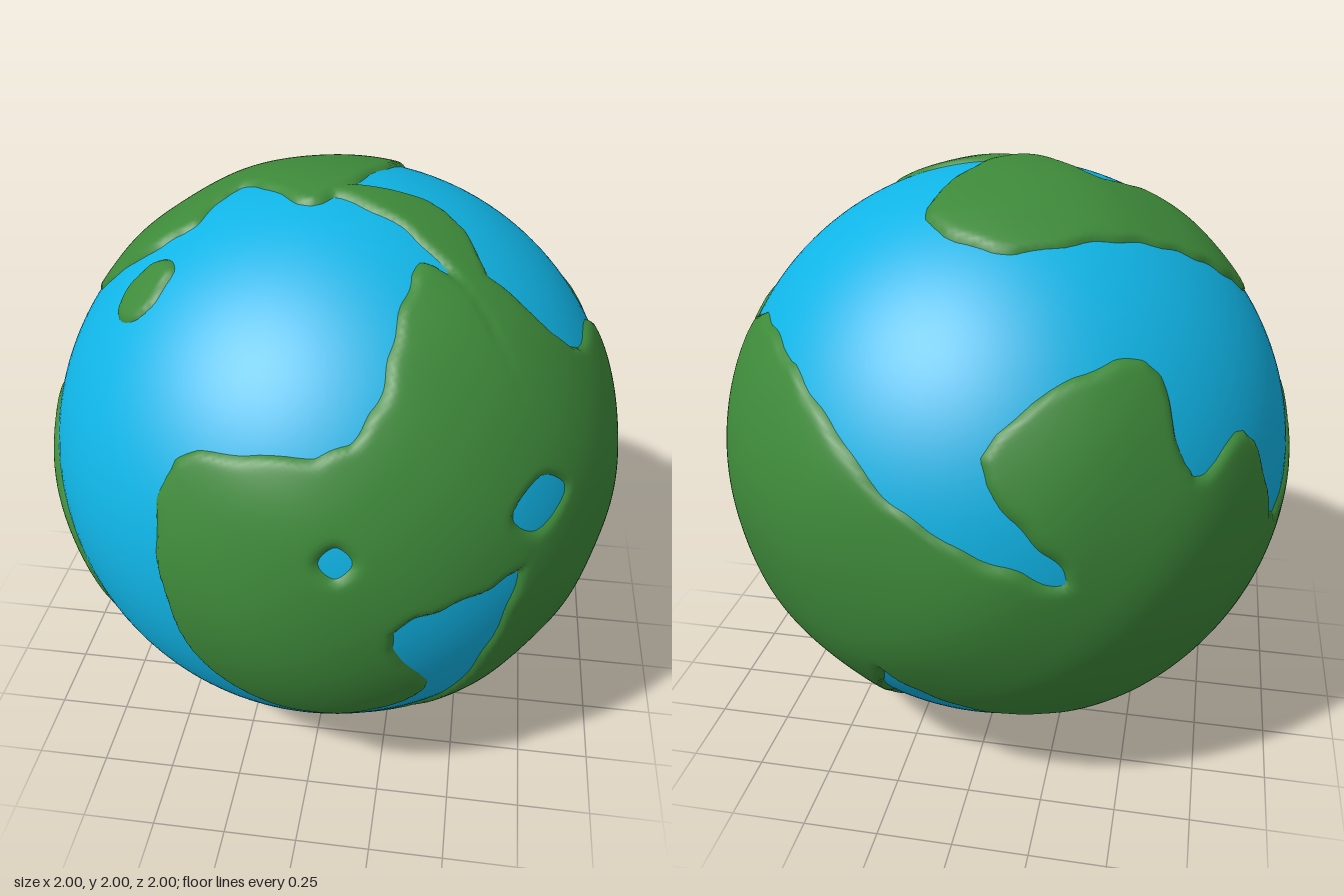
import * as THREE from 'three';
import { mergeVertices } from 'three/addons/utils/BufferGeometryUtils.js';

const R = 0.985;
const V = (x, y, z = 0) => new THREE.Vector3(x, y, z);

// A chart is a plane facing the globe's centre, in which coastlines are drawn.
function chart(azimuth, elevation) {
  const [a, e] = [azimuth, elevation].map(THREE.MathUtils.degToRad);
  const C = V(Math.sin(a) * Math.cos(e), Math.sin(e), Math.cos(a) * Math.cos(e));
  const X = V(Math.cos(a), 0, -Math.sin(a));
  return { C, X, Y: C.clone().cross(X) };
}
const front = chart(0, 0), east = chart(90, 0), west = chart(-90, 0);
const north = chart(0, 90), south = chart(0, -90);
const backHigh = chart(215, 25), backLow = chart(145, -25);

// Smooth closed coastline, kept as stereographic points about the chart axis.
function coast(c, ...flat) {
  const pts = [];
  for (let i = 0; i < flat.length; i += 2) {
    const p = V(flat[i], flat[i + 1]).divideScalar(R).clampLength(0, 1);
    pts.push(p.divideScalar(1 + Math.sqrt(Math.max(0, 1 - p.lengthSq()))));
  }
  return { ...c, pts: new THREE.CatmullRomCurve3(pts, true).getPoints(pts.length * 5).slice(1) };
}
const pond = (c, x, y, r) => coast(c, x + r, y, x, y + r, x - r, y, x, y - r);

// Signed arc distance of a direction to a coastline, positive on the inside.
function inside({ C, X, Y, pts }, p) {
  const w = 1 + p.dot(C);
  if (w < 0.6) return -1;
  const x = p.dot(X) / w, y = p.dot(Y) / w;
  let best = Infinity, odd = false, a = pts.at(-1);
  for (const b of pts) {
    const dx = a.x - b.x, dy = a.y - b.y;
    const t = THREE.MathUtils.clamp(((x - b.x) * dx + (y - b.y) * dy) / (dx * dx + dy * dy), 0, 1);
    best = Math.min(best, Math.hypot(x - b.x - t * dx, y - b.y - t * dy));
    if (b.y > y !== a.y > y && x < b.x + dx * (y - b.y) / dy) odd = !odd;
    a = b;
  }
  return (odd ? best : -best) * w;
}

const lands = [
  // front continent
  coast(front, 0.3, 0.87, 0.15, 0.53, -0.35, 0.43, -0.41, 0.05, -0.22, -0.39, 0.12, -0.53, 0.41, -0.4,
    0.3, -0.05, 0.72, 0.12, 0.45, 0.79),
  // eastern continent with its inner channel
  coast(east, -0.3, 0.86, -0.25, 0.57, 0.08, 0.5, 0.15, -0.08, -0.1, -0.27, -0.04, -0.5, 0.3, -0.43,
    0.41, -0.1, 0.29, 0.52, 0.8, 0.4, 0.95, 0, 0.3, -0.89, -0.45, -0.84, -0.73, -0.4, -0.7, 0.2),
  // back continent
  coast(backHigh, -0.83, 0.37, -0.68, -0.1, -0.45, -0.32, -0.25, -0.42, -0.46, -0.02, 0.06, 0.17, 0.16, -0.19,
    0.4, -0.08, 0.6, -0.39, 0.9, 0.08, 0.7, -0.44, 0.5, -0.75, 0.1, -0.95, -0.75, -0.57),
  // underside around the southern bay
  coast(backLow, -0.13, -0.83, 0.2, -0.2, 0.42, 0.07, 0.62, -0.3, 0.5, -0.75, 0.74, -0.35, 0.1, 0.22, -0.6, -0.4),
  // southern tongue
  coast(south, 0.45, 0.55, -0.46, 0.42, -0.05, 0.22, 0.3, -0.05),
  // western peninsula
  coast(west, 0.16, 0.26, 0.58, -0.22, 0.34, -0.66, 0, -0.1),
  // polar island, the land bridge to it and an islet
  coast(north, 0.08, 0, 0.18, 0.4, -0.05, 0.53, -0.4, 0.35, -0.8, -0.07, -0.45, -0.21, -0.3, -0.02, -0.05, -0.2),
  coast(north, -0.05, -0.1, 0.36, -0.07, 0.52, -0.45, 0.24, -0.25),
  pond(north, -0.54, -0.37, 0.1),
];
const lakes = [pond(front, 0.7, 0.25, 0.08), pond(front, 0.13, 0.21, 0.05)];
const peak = V(0.52, -0.85, 0.05);
const ripple = (p, f) => Math.sin(f * (p.x + p.y / 2)) * Math.sin(f * (p.z - p.y / 2) + 1);

function landRadius(p) {
  let d = Math.max(...lands.map((l) => inside(l, p))) + 0.01 * ripple(p, 25);
  d = Math.min(d, ...lakes.map((l) => -inside(l, p)));
  if (d < 0) return R + Math.max(d, -0.04);
  // low rolling hills and one southern mountain
  const h = 0.015 + 0.005 * ripple(p, 9) + 0.105 * Math.exp(-13 * peak.distanceToSquared(p));
  return R + h * Math.tanh(d / h);
}

function landGeometry() {
  let g = new THREE.IcosahedronGeometry(1, 72);
  g.deleteAttribute('normal');
  g.deleteAttribute('uv');
  g = mergeVertices(g);
  const pos = g.attributes.position, p = V(0, 0), dry = [];
  for (let i = 0; i < pos.count; i++) {
    p.fromBufferAttribute(pos, i).normalize();
    const r = landRadius(p);
    dry.push(r > R);
    p.multiplyScalar(r);
    pos.setXYZ(i, p.x, p.y, p.z);
  }
  // drop the submerged faces
  const index = g.index.array, kept = [];
  for (let i = 0; i < index.length; i += 3) {
    const face = [...index.slice(i, i + 3)];
    if (face.some((v) => dry[v])) kept.push(...face);
  }
  g.setIndex(kept);
  g.computeVertexNormals();
  return g;
}

export function createModel() {
  const globe = new THREE.Group();
  globe.name = 'globe';
  const add = (name, geometry, color) => {
    const mesh = new THREE.Mesh(geometry, new THREE.MeshStandardMaterial({ color }));
    mesh.name = name;
    mesh.position.y = 1.01;
    globe.add(mesh);
  };
  add('ocean', new THREE.SphereGeometry(R, 128, 80), 0x10b4e6);
  add('land', landGeometry(), 0x3e8a3a);
  return globe;
}
